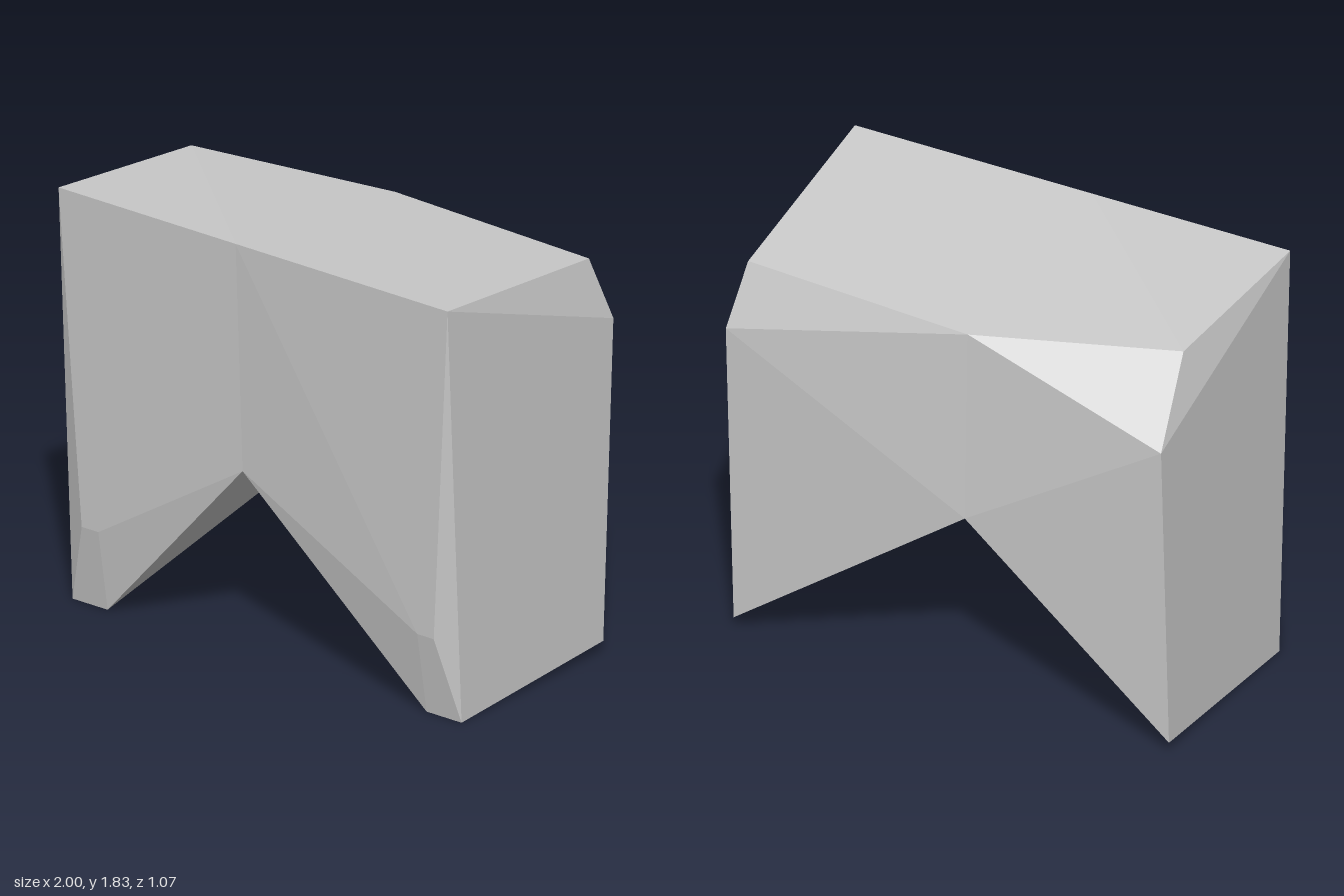
import * as THREE from 'three';

// Points shared by both halves, on the off-centre ridge line
const ridge = {
  topFront: [-0.09, 1.83, 0.53],
  topBack: [-0.09, 1.71, -0.495],
  archFront: [-0.09, 0.82, 0.485],
  archBack: [-0.09, 0.86, -0.52],
};

// Corners of one half; s is +1 for the left half, -1 for the right
function halfCorners(s) {
  return {
    ...ridge,
    corner: [s, 1.83, 0.53],
    crown: s > 0 ? [0.95, 1.72, -0.44] : [-0.95, 1.76, -0.26],
    shoulder: [s, 1.44, -0.535],
    kneeOut: [s * 0.905, 0.36, 0.5],
    kneeIn: [s * 0.82, 0.36, 0.5],
    toeOut: [s, 0, 0.44],
    toeIn: [s * 0.82, 0, 0.44],
    heel: [s, 0.05, -0.47],
  };
}

// Facets of the left half, corners anticlockwise from outside
const facets = {
  frontPanel: [
    ['topFront', 'kneeOut', 'corner'],
    ['topFront', 'kneeIn', 'kneeOut'],
    ['topFront', 'archFront', 'kneeIn'],
    ['corner', 'kneeOut', 'toeOut'],
  ],
  footFront: [
    ['archFront', 'toeIn', 'kneeIn'],
    ['kneeIn', 'toeIn', 'toeOut'],
    ['kneeIn', 'toeOut', 'kneeOut'],
  ],
  sidePanel: [
    ['corner', 'toeOut', 'heel'],
    ['corner', 'heel', 'shoulder'],
    ['corner', 'shoulder', 'crown'],
  ],
  topPanel: [
    ['topFront', 'corner', 'crown'],
    ['topFront', 'crown', 'topBack'],
  ],
  backPanel: [
    ['topBack', 'crown', 'shoulder'],
    ['topBack', 'shoulder', 'archBack'],
    ['archBack', 'shoulder', 'heel'],
  ],
  underside: [
    ['archBack', 'heel', 'toeIn'],
    ['archBack', 'toeIn', 'archFront'],
    ['toeIn', 'heel', 'toeOut'],
  ],
};

export function createModel() {
  const group = new THREE.Group();
  group.name = 'archedBlock';
  const material = new THREE.MeshStandardMaterial({ color: 0xcccccc, flatShading: true });

  for (const s of [1, -1]) {
    const points = halfCorners(s);
    const half = new THREE.Group();
    half.name = s > 0 ? 'leftHalf' : 'rightHalf';
    for (const [name, triangles] of Object.entries(facets)) {
      const positions = [];
      for (const [a, b, c] of triangles) {
        // Mirrored facets swap two corners to keep facing outward
        const order = s > 0 ? [a, b, c] : [a, c, b];
        for (const key of order) positions.push(...points[key]);
      }
      const geometry = new THREE.BufferGeometry();
      geometry.setAttribute('position', new THREE.Float32BufferAttribute(positions, 3));
      geometry.computeVertexNormals();
      const mesh = new THREE.Mesh(geometry, material);
      mesh.name = name;
      half.add(mesh);
    }
    group.add(half);
  }
  return group;
}
